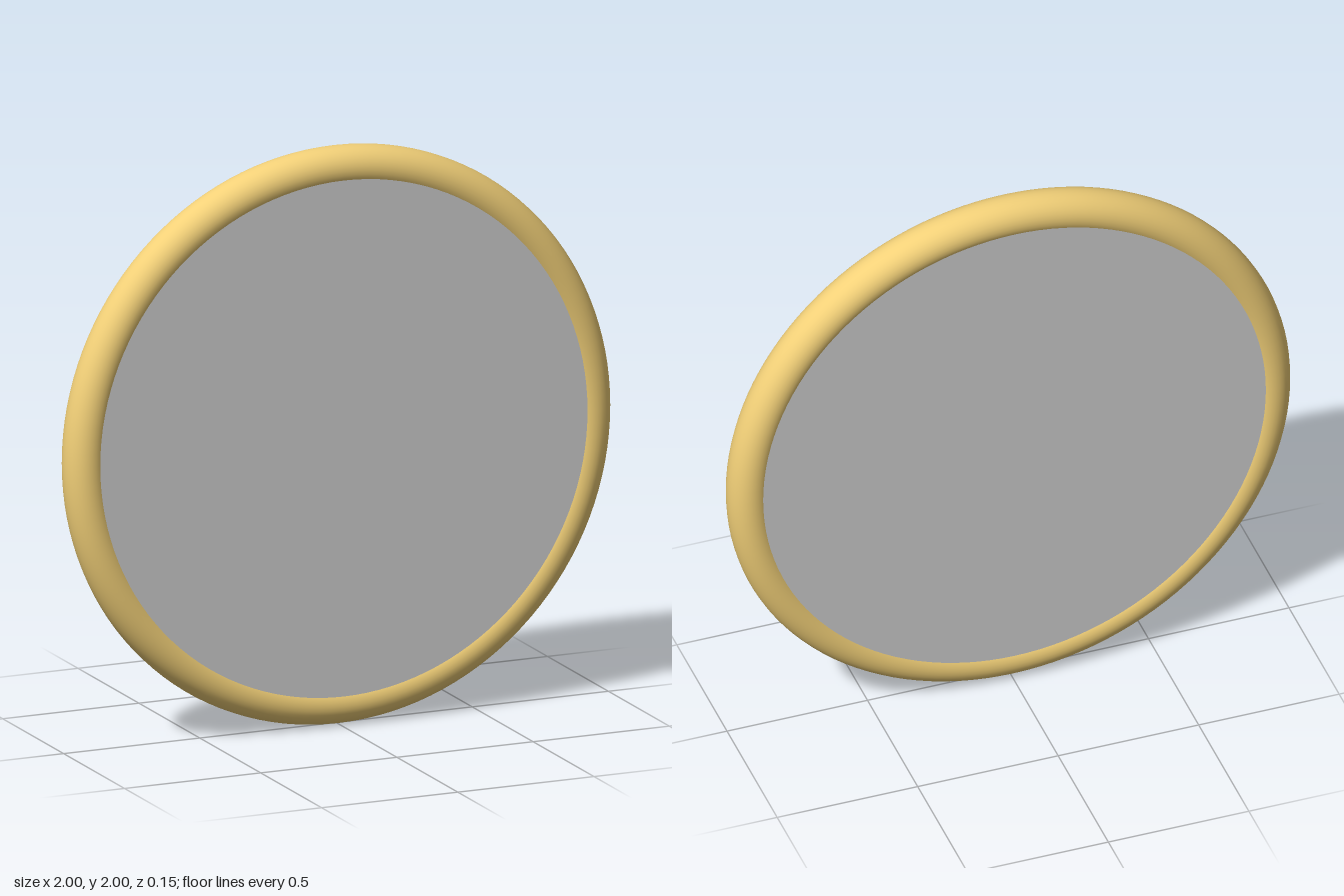
import * as THREE from 'three';

const TUBE = 0.073;        // rim tube radius
const RING = 1 - TUBE;     // rim centre-line radius
const PANEL_R = 0.895;     // panel edge, sunk into the rim
const PANEL_T = 0.13;      // panel thickness

export function createModel() {
  const model = new THREE.Group();
  model.name = 'roundFramedPanel';

  // Round rim
  const rim = new THREE.Mesh(
    new THREE.TorusGeometry(RING, TUBE, 32, 128),
    new THREE.MeshStandardMaterial({ color: 0xf2d078 })
  );
  rim.name = 'rim';
  rim.position.y = 1;
  model.add(rim);

  // Flat disc filling the rim, faces pointing front and back
  const panel = new THREE.Mesh(
    new THREE.CylinderGeometry(PANEL_R, PANEL_R, PANEL_T, 128).rotateX(Math.PI / 2),
    new THREE.MeshStandardMaterial({ color: 0xcccccc })
  );
  panel.name = 'panel';
  panel.position.y = 1;
  model.add(panel);

  return model;
}
